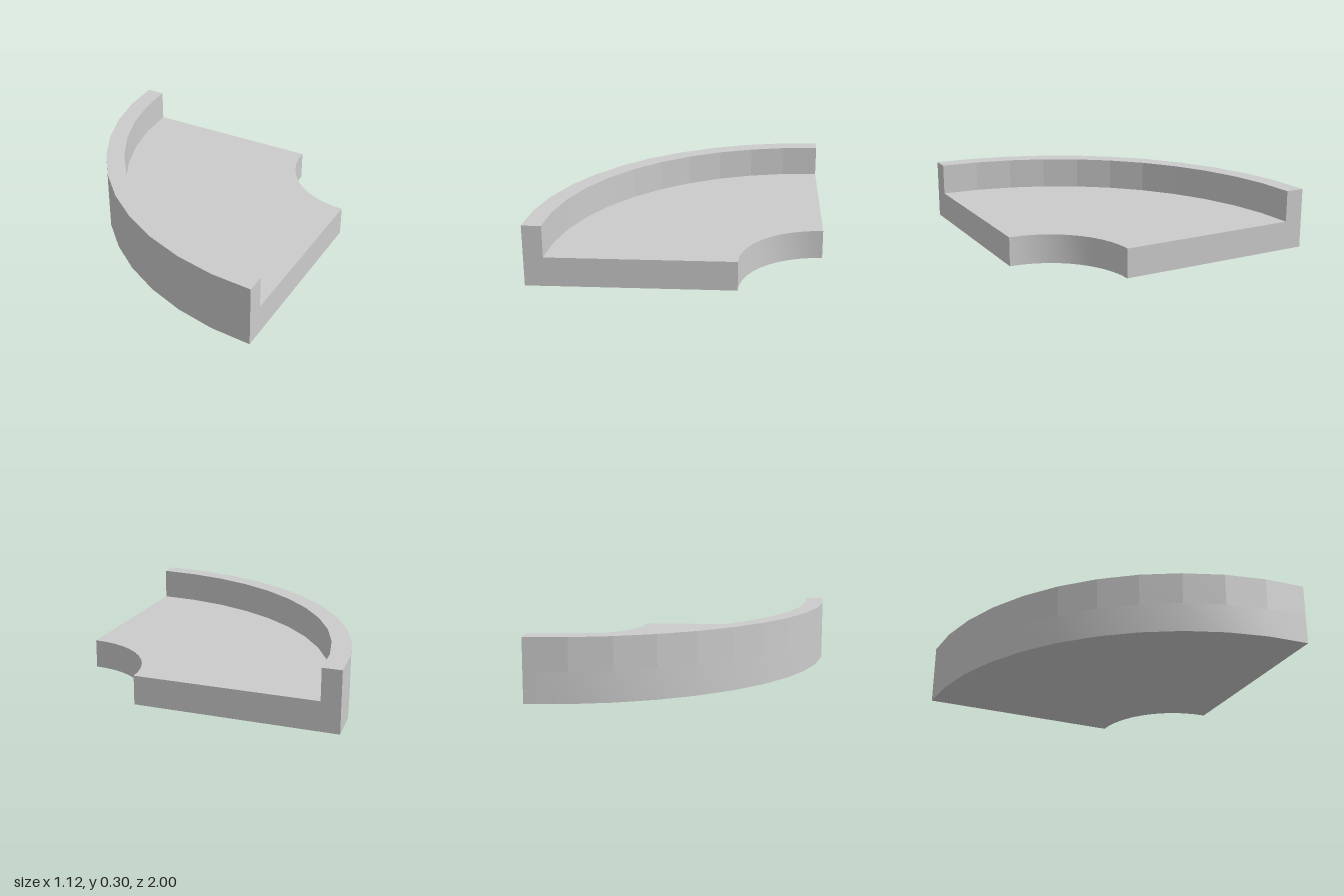
import * as THREE from 'three';
import { toCreasedNormals } from 'three/addons/utils/BufferGeometryUtils.js';

const CENTRE_X = 0.85; // shared centre of all arcs
const SEGMENTS = 11;

// Points along a quarter arc that faces -x
function arc(radius) {
  return Array.from({ length: SEGMENTS + 1 }, (_, i) => {
    const a = Math.PI * (0.75 + (0.5 * i) / SEGMENTS);
    return new THREE.Vector2(CENTRE_X + radius * Math.cos(a), radius * Math.sin(a));
  });
}

// Quarter ring between two radii, raised from y0 to y1
function quarterRing(inner, outer, y0, y1) {
  const shape = new THREE.Shape([...arc(outer), ...arc(inner).reverse()]);
  const geometry = new THREE.ExtrudeGeometry(shape, { depth: y1 - y0, bevelEnabled: false });
  geometry.rotateX(-Math.PI / 2);
  geometry.translate(0, y0, 0);
  return geometry;
}

export function createModel() {
  const model = new THREE.Group();
  model.name = 'curvedCorner';

  // Flat base with smoothly shaded curved sides
  const base = new THREE.Mesh(
    toCreasedNormals(quarterRing(0.412, 1.414, 0, 0.145), 0.5),
    new THREE.MeshStandardMaterial({ color: 0xcccccc })
  );
  base.name = 'base';

  // Faceted kerb along the outer edge
  const kerb = new THREE.Mesh(
    quarterRing(1.32, 1.414, 0.145, 0.302),
    new THREE.MeshStandardMaterial({ color: 0xcccccc, flatShading: true })
  );
  kerb.name = 'outerKerb';

  model.add(base, kerb);
  return model;
}
